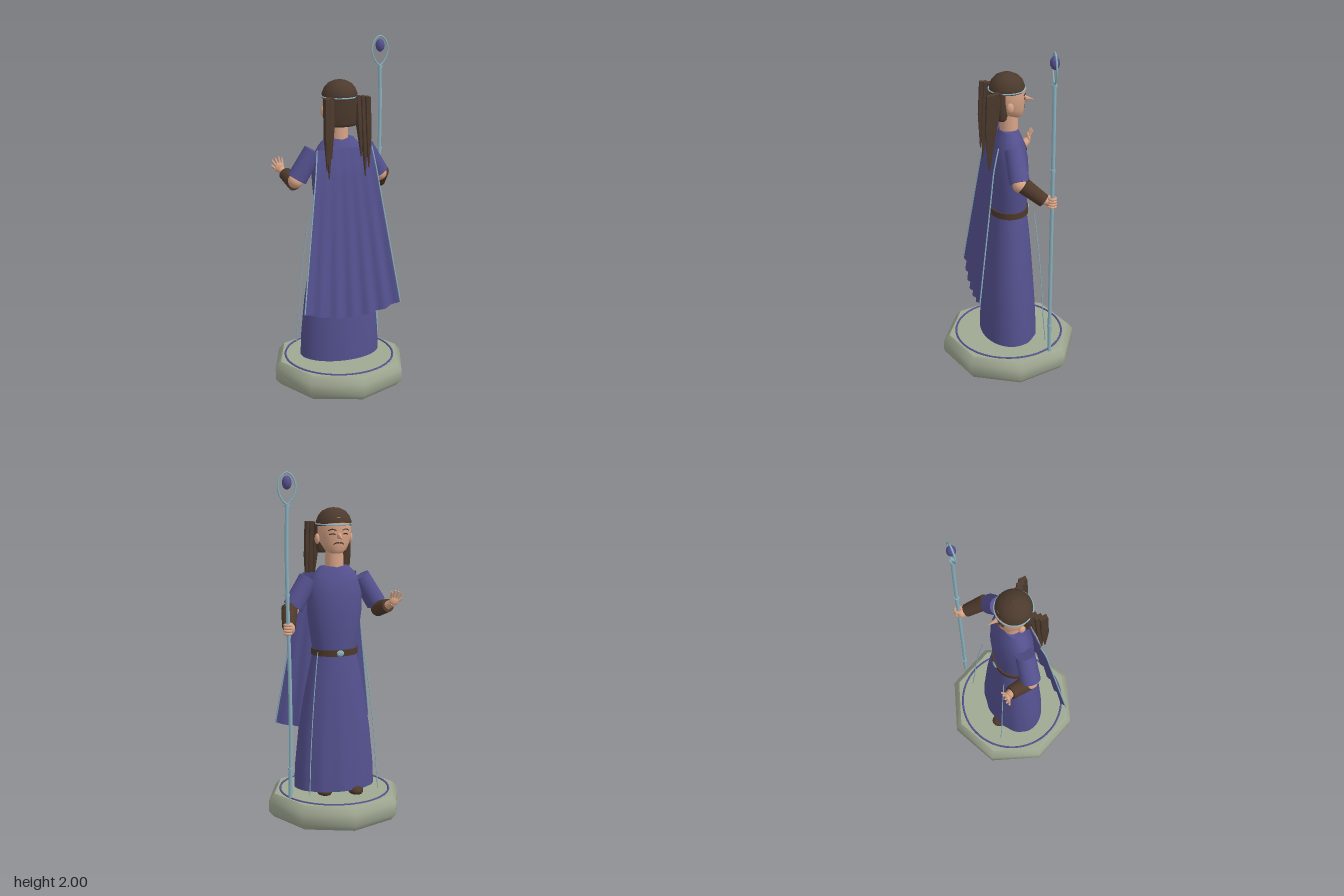
import * as THREE from 'three';

const mat = (name, color, side = THREE.FrontSide) => {
  const m = new THREE.MeshStandardMaterial({ color, side });
  m.name = name;
  return m;
};
const V = (x, y, z) => new THREE.Vector3(x, y, z);

// Closed elliptical loft: rows of [y, radiusX, radiusZ, centreZ], bottom to top
function loft(rows, ripple = () => 0, n = 48) {
  const pos = [], idx = [];
  rows.forEach(([y, rx, rz, cz = 0], i) => {
    for (let j = 0; j < n; j++) {
      const a = (j / n) * Math.PI * 2, k = 1 + ripple(a, y);
      pos.push(Math.sin(a) * rx * k, y, cz + Math.cos(a) * rz * k);
      if (i === rows.length - 1) continue;
      const p = i * n + j, q = i * n + (j + 1) % n;
      idx.push(p, q, q + n, p, q + n, p + n);
    }
  });
  const g = new THREE.BufferGeometry();
  g.setAttribute('position', new THREE.Float32BufferAttribute(pos, 3));
  g.setIndex(idx);
  g.computeVertexNormals();
  return g;
}

export function createModel() {
  const model = new THREE.Group();
  const robe = mat('robe blue', 0x54518f);
  const capeCloth = mat('cape blue', 0x54518f, THREE.DoubleSide);
  const hair = mat('hair brown', 0x4c3a2d);
  const leather = mat('leather brown', 0x4e392b);
  const skin = mat('skin', 0xd7a386);
  const metal = mat('pale blue metal', 0x8ab2c0);
  const stone = mat('stone', 0x9fa892);
  const dark = mat('dark brown', 0x30241e);

  const add = (name, geo, material, p = [0, 0, 0], parent = model) => {
    const m = new THREE.Mesh(geo, material);
    m.name = name;
    m.position.set(...p);
    parent.add(m);
    return m;
  };
  const ball = (name, material, p, s) => {
    const m = add(name, new THREE.SphereGeometry(1, 24, 16), material, p);
    m.scale.set(...s);
    return m;
  };
  // Tapered cylinder from a to b
  const rod = (name, material, a, b, ra, rb = ra, sides = 20) => {
    const A = V(...a), B = V(...b), d = B.clone().sub(A);
    const m = add(name, new THREE.CylinderGeometry(rb, ra, d.length(), sides), material);
    m.position.copy(A).add(B).multiplyScalar(0.5);
    m.quaternion.setFromUnitVectors(V(0, 1, 0), d.normalize());
    return m;
  };
  const tube = (name, material, pts, r, closed = false) =>
    add(name, new THREE.TubeGeometry(new THREE.CatmullRomCurve3(pts.map(p => V(...p)), closed), 40, r, 8, closed), material);

  // Octagonal plinth with an inlaid ring
  const plinth = [[0, 0], [0.37, 0], [0.37, 0], [0.4, 0.035], [0.4, 0.1], [0.365, 0.14], [0.365, 0.14], [0, 0.14]];
  add('plinth', new THREE.LatheGeometry(plinth.map(p => new THREE.Vector2(...p)), 8), stone);
  add('plinthRing', new THREE.TorusGeometry(0.32, 0.006, 8, 64), robe, [0, 0.141, 0]).rotation.x = Math.PI / 2;

  // Robe: rippled skirt and torso
  const ripple = (a, y) => 0.018 * Math.cos(a * 12) * Math.max(0, -Math.cos(a)) * Math.max(0, (0.96 - y) / 0.8);
  add('skirt', loft([[0.165, 0.001, 0.001], [0.165, 0.24, 0.167, 0.006], [0.165, 0.24, 0.167, 0.006],
    [0.3, 0.234, 0.163, 0.006], [0.5, 0.214, 0.15, 0.006], [0.7, 0.182, 0.132, 0.003],
    [0.85, 0.153, 0.115], [0.97, 0.126, 0.1]], ripple, 72), robe);
  add('torso', loft([[0.96, 0.125, 0.1], [1.08, 0.145, 0.108], [1.2, 0.16, 0.112], [1.3, 0.162, 0.105],
    [1.37, 0.15, 0.09], [1.42, 0.122, 0.07], [1.46, 0.085, 0.05], [1.46, 0.085, 0.05], [1.465, 0.001, 0.001]]), robe);

  // Belt and buckle
  add('belt', loft([[0.952, 0.12, 0.095], [0.952, 0.136, 0.112], [0.952, 0.136, 0.112],
    [0.988, 0.136, 0.112], [0.988, 0.136, 0.112], [0.988, 0.12, 0.095]]), leather);
  ball('buckle', metal, [0, 0.97, -0.112], [0.022, 0.018, 0.008]);

  // Shoes and hanging front cords
  for (const s of [-1, 1]) {
    const out = s < 0 ? -0.125 : -0.09;
    ball('shoe', leather, [s * 0.09, 0.155, out], [0.043, 0.03, 0.055]);
    rod('ankle', leather, [s * 0.085, 0.14, -0.02], [s * 0.085, 0.25, -0.02], 0.045);
    tube('frontCord', metal, [[s * 0.137, 0.99, -0.12], [s * 0.155, 0.85, -0.135], [s * 0.18, 0.6, -0.155],
      [s * 0.197, 0.35, -0.168], [s * 0.206, 0.17, -0.182]], 0.0028);
  }

  // Cape: a flaring sheet with folds
  const capePoint = (u, v) => [
    u * (0.165 + 0.13 * v),
    1.415 - v * (0.91 + 0.05 * (1 - u * u)),
    0.088 + 0.128 * v + 0.012 * Math.min(1, v * 8) - v * 0.012 * u * u + 0.009 * v * Math.cos(u * Math.PI * 6),
  ];
  const cape = new THREE.PlaneGeometry(1, 1, 60, 24);
  const cp = cape.attributes.position, cuv = cape.attributes.uv;
  for (let i = 0; i < cp.count; i++) cp.setXYZ(i, ...capePoint(cuv.getX(i) * 2 - 1, 1 - cuv.getY(i)));
  cape.computeVertexNormals();
  add('cape', cape, capeCloth);
  for (const s of [-1, 1])
    tube('capeTrim', metal, [0, 0.15, 0.3, 0.5, 0.75, 1].map(v => capePoint(s, v)), 0.004);

  // Neck, head and face (looking toward -z)
  rod('neck', skin, [0, 1.43, 0], [0, 1.58, 0], 0.053, 0.05);
  add('head', loft([[1.532, 0.001, 0.001, -0.03], [1.536, 0.036, 0.036, -0.034], [1.555, 0.062, 0.062, -0.02],
    [1.59, 0.082, 0.08, -0.006], [1.64, 0.094, 0.09], [1.7, 0.096, 0.092], [1.74, 0.08, 0.08]]), skin);
  const nose = add('nose', new THREE.ConeGeometry(0.02, 0.085, 16), skin, [0, 1.632, -0.103]);
  nose.rotation.x = -Math.PI / 2 - 0.25;
  nose.scale.z = 1.3;
  for (const s of [-1, 1]) {
    ball('ear', skin, [s * 0.098, 1.615, 0.01], [0.014, 0.03, 0.02]);
    tube('eyebrow', hair, [[s * 0.018, 1.667, -0.091], [s * 0.04, 1.674, -0.085], [s * 0.06, 1.666, -0.073]], 0.003);
    tube('eye', dark, [[s * 0.022, 1.645, -0.089], [s * 0.038, 1.648, -0.084], [s * 0.054, 1.644, -0.075]], 0.003);
    tube('moustache', hair, [[0, 1.598, -0.087], [s * 0.015, 1.597, -0.084], [s * 0.03, 1.588, -0.077]], 0.004);
  }
  tube('mouth', dark, [[-0.02, 1.58, -0.077], [0, 1.578, -0.081], [0.02, 1.58, -0.077]], 0.003);

  // Hair cap, back of the hair and circlet
  add('hairCap', loft([[1.685, 0.09, 0.085, 0.01], [1.69, 0.102, 0.1, 0.01], [1.715, 0.1, 0.099, 0.01],
    [1.745, 0.088, 0.088, 0.01], [1.77, 0.066, 0.066, 0.01], [1.785, 0.035, 0.035, 0.01], [1.79, 0.001, 0.001, 0.01]]), hair);
  add('backHair', loft([[1.53, 0.001, 0.001, 0.05], [1.533, 0.08, 0.035, 0.05], [1.55, 0.09, 0.042, 0.052],
    [1.62, 0.097, 0.047, 0.055], [1.7, 0.1, 0.05, 0.058]]), hair);
  const circlet = add('circlet', new THREE.TorusGeometry(0.103, 0.004, 8, 64), metal, [0, 1.698, 0.01]);
  circlet.rotation.x = Math.PI / 2;

  // Long side locks, tapering to points
  for (const s of [-1, 1]) {
    [[0.083, 0.08, 0.34, 0.1], [0.103, 0.1, 0.45, 0.115], [0.12, 0.122, 0.4, 0.125]].forEach(([x, z, h, zEnd]) => {
      const g = new THREE.BoxGeometry(0.026, h, 0.042, 1, 8, 1), p = g.attributes.position;
      for (let i = 0; i < p.count; i++) {
        const t = 0.5 - p.getY(i) / h, k = t < 0.5 ? 1 : 1 - 1.7 * (t - 0.5);
        p.setXYZ(i, p.getX(i) * k + s * (x + 0.006 * t), 1.705 - t * h, p.getZ(i) * k + z + (zEnd + 0.015 - z) * t);
      }
      g.computeVertexNormals();
      add('sideLock', g, hair);
    });
  }

  // Sleeves, forearms and bracers
  for (const s of [-1, 1]) {
    rod('sleeve', robe, [s * 0.156, 1.395, 0], [s * 0.25, 1.237, -0.012], 0.054, 0.058, 28);
    ball('elbow', skin, [s * 0.258, 1.225, -0.015], [0.043, 0.043, 0.043]);
  }
  rod('bracer', leather, [-0.252, 1.205, -0.035], [-0.274, 1.238, -0.145], 0.046, 0.038);
  rod('bracer', leather, [0.276, 1.23, -0.03], [0.31, 1.145, -0.137], 0.046, 0.038);

  // Raised open hand
  rod('wrist', skin, [-0.272, 1.236, -0.14], [-0.292, 1.258, -0.17], 0.024, 0.022);
  ball('palm', skin, [-0.298, 1.27, -0.176], [0.028, 0.03, 0.014]);
  for (let i = 0; i < 4; i++)
    rod('finger', skin, [-0.278 - i * 0.013, 1.287 - i * 0.003, -0.18],
      [-0.277 - i * 0.02, 1.33 - Math.abs(i - 1) * 0.008, -0.198], 0.007, 0.005, 10);
  rod('thumb', skin, [-0.318, 1.262, -0.175], [-0.345, 1.285, -0.185], 0.008, 0.006, 10);

  // Hand gripping the staff
  const sx = 0.328, sz = -0.18;
  rod('wrist', skin, [0.308, 1.15, -0.13], [0.314, 1.14, -0.165], 0.024);
  ball('fist', skin, [0.31, 1.14, -0.168], [0.026, 0.034, 0.026]);
  for (let i = 0; i < 4; i++)
    add('grippingFinger', new THREE.TorusGeometry(0.018, 0.008, 8, 20), skin, [sx, 1.115 + i * 0.016, sz]).rotation.x = Math.PI / 2;

  // Staff with collars, loop and gem
  tube('staffShaft', metal, [[0.322, 0.17, sz], [0.317, 0.5, sz], [0.32, 0.9, sz], [sx, 1.25, sz], [0.332, 1.55, sz], [sx, 1.83, sz]], 0.011);
  for (const [x, y] of [[0.319, 0.34], [0.33, 1.33], [sx, 1.815]])
    rod('staffCollar', metal, [x, y - 0.006, sz], [x, y + 0.006, sz], 0.015);
  tube('staffLoop', metal, [[sx, 1.825, sz], [0.362, 1.86, sz], [0.378, 1.92, sz], [0.362, 1.97, sz], [sx, 1.995, sz],
    [0.294, 1.97, sz], [0.278, 1.92, sz], [0.294, 1.86, sz]], 0.005, true);
  ball('gem', robe, [sx, 1.94, sz], [0.026, 0.037, 0.026]);

  return model;
}
